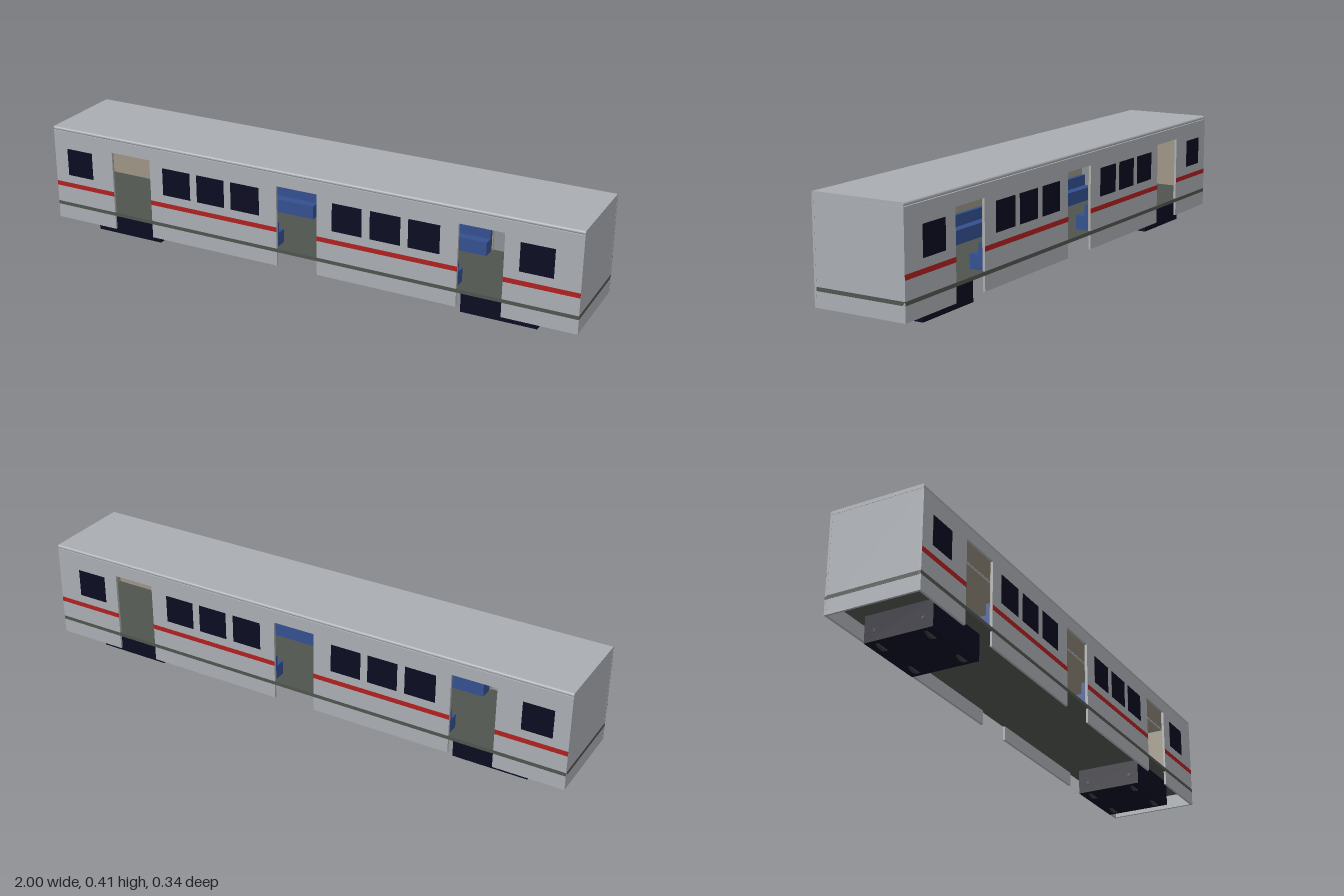
import * as THREE from 'three';

const mat = (name, color, extra = {}) => {
  const m = new THREE.MeshStandardMaterial({ color, ...extra });
  m.name = name;
  return m;
};

export function createModel() {
  const car = new THREE.Group();
  car.name = 'railCarriage';
  const silver = mat('silver grey body', 0xa9adb2);
  const floorMat = mat('dark floor grey', 0x50544e);
  const navy = mat('near black navy', 0x0b0b22);
  const red = mat('stripe red', 0xb02020);
  const beige = mat('interior beige', 0x9c9484);
  const blue = mat('seat blue', 0x34508f);
  const steel = mat('wheel steel', 0x36383c);

  const W = 0.168; // half width of the body
  const T = 0.008; // wall thickness
  const doors = [[-0.75, -0.59], [-0.08, 0.075], [0.585, 0.742]];
  const panels = [[-1, -0.75], [-0.59, -0.08], [0.075, 0.585], [0.742, 1]];
  const windows = [
    [-0.945, -0.838], [-0.537, -0.425], [-0.397, -0.287], [-0.26, -0.148],
    [0.132, 0.242], [0.272, 0.382], [0.41, 0.522], [0.795, 0.91],
  ];

  const add = (name, geo, material, parent = car) => {
    const m = new THREE.Mesh(geo, material);
    m.name = name;
    parent.add(m);
    return m;
  };
  // box given by its minimum and maximum on each axis
  const box = (name, [x0, x1], [y0, y1], [z0, z1], material, parent) => {
    const m = add(name, new THREE.BoxGeometry(x1 - x0, y1 - y0, z1 - z0), material, parent);
    m.position.set((x0 + x1) / 2, (y0 + y1) / 2, (z0 + z1) / 2);
    return m;
  };
  // side wall outline with door notches cut up from the bottom edge
  const wallGeometry = (x, bottom, top, depth) => {
    const s = new THREE.Shape();
    s.moveTo(-x, top);
    s.lineTo(-x, bottom);
    for (const [a, b] of doors) {
      s.lineTo(a, bottom);
      s.lineTo(a, 0.348);
      s.lineTo(b, 0.348);
      s.lineTo(b, bottom);
    }
    s.lineTo(x, bottom);
    s.lineTo(x, top);
    s.closePath();
    return new THREE.ExtrudeGeometry(s, { depth, bevelEnabled: false });
  };

  // floor slab, showing as a thin band around the outside
  box('floor', [-1, 1], [0.102, 0.115], [-W - 0.0004, W + 0.0004], floorMat);

  // roof with rounded long edges, and the ceiling below it
  const r = 0.0065;
  const roof = new THREE.Shape();
  roof.absarc(W - r, 0, r, -Math.PI / 2, Math.PI / 2, false);
  roof.absarc(-W + r, 0, r, Math.PI / 2, Math.PI * 1.5, false);
  const roofGeo = new THREE.ExtrudeGeometry(roof, { depth: 2, bevelEnabled: false, curveSegments: 8 });
  roofGeo.translate(0, 0, -1);
  roofGeo.rotateY(Math.PI / 2);
  add('roof', roofGeo, silver).position.y = 0.4;
  box('ceiling', [-0.99, 0.99], [0.387, 0.3934], [-W + T, W - T], beige);

  // end walls with inner lining
  for (const s of [-1, 1]) {
    const at = (a, b) => (s > 0 ? [a, b] : [-b, -a]);
    box('endWall', at(1 - T, 0.9996), [0.05, 0.393], [-W, W], silver);
    box('endLining', at(0.989, 1 - T), [0.115, 0.388], [-W + T, W - T], beige);
  }

  // both sides: walls, windows, stripes, benches and handrails
  for (const s of [-1, 1]) {
    const side = new THREE.Group();
    side.name = s > 0 ? 'frontSide' : 'backSide';
    car.add(side);
    const at = (a, b) => (s > 0 ? [a, b] : [-b, -a]);
    add('sideWall', wallGeometry(1, 0.05, 0.393, T), silver, side).position.z = at(W - T, W)[0];
    add('sideLining', wallGeometry(0.99, 0.115, 0.388, 0.002), beige, side)
      .position.z = at(W - T - 0.002, W - T)[0];
    for (const w of windows) box('window', w, [0.226, 0.328], at(W, W + 0.001), navy, side);
    panels.forEach((p, i) => {
      box('stripe', p, [0.178, 0.195], at(W, W + 0.001), red, side);
      if (i === 0 || i === 3) return;
      box('benchSeat', [p[0] + 0.004, p[1] - 0.004], [0.115, 0.165], at(0.108, W - T - 0.002), blue, side);
      box('benchBack', [p[0] + 0.004, p[1] - 0.004], [0.165, 0.205], at(0.142, W - T - 0.002), blue, side);
    });
    const rail = add('handrail', new THREE.CylinderGeometry(0.003, 0.003, 1.97, 8), silver, side);
    rail.rotation.z = Math.PI / 2;
    rail.position.set(0, 0.338, s * 0.1);
  }

  // bogies with four wheels each
  for (const x of [-0.722, 0.718]) {
    const bogie = new THREE.Group();
    bogie.name = 'bogie';
    bogie.position.x = x;
    car.add(bogie);
    box('bogieFrame', [-0.134, 0.134], [0.01, 0.102], [-0.122, 0.122], navy, bogie);
    for (const wx of [-0.09, 0.09]) for (const wz of [-0.086, 0.086]) {
      const wheel = add('wheel', new THREE.CylinderGeometry(0.045, 0.045, 0.01, 24), steel, bogie);
      wheel.rotation.x = Math.PI / 2;
      wheel.position.set(wx, 0.045, wz);
    }
  }
  return car;
}
